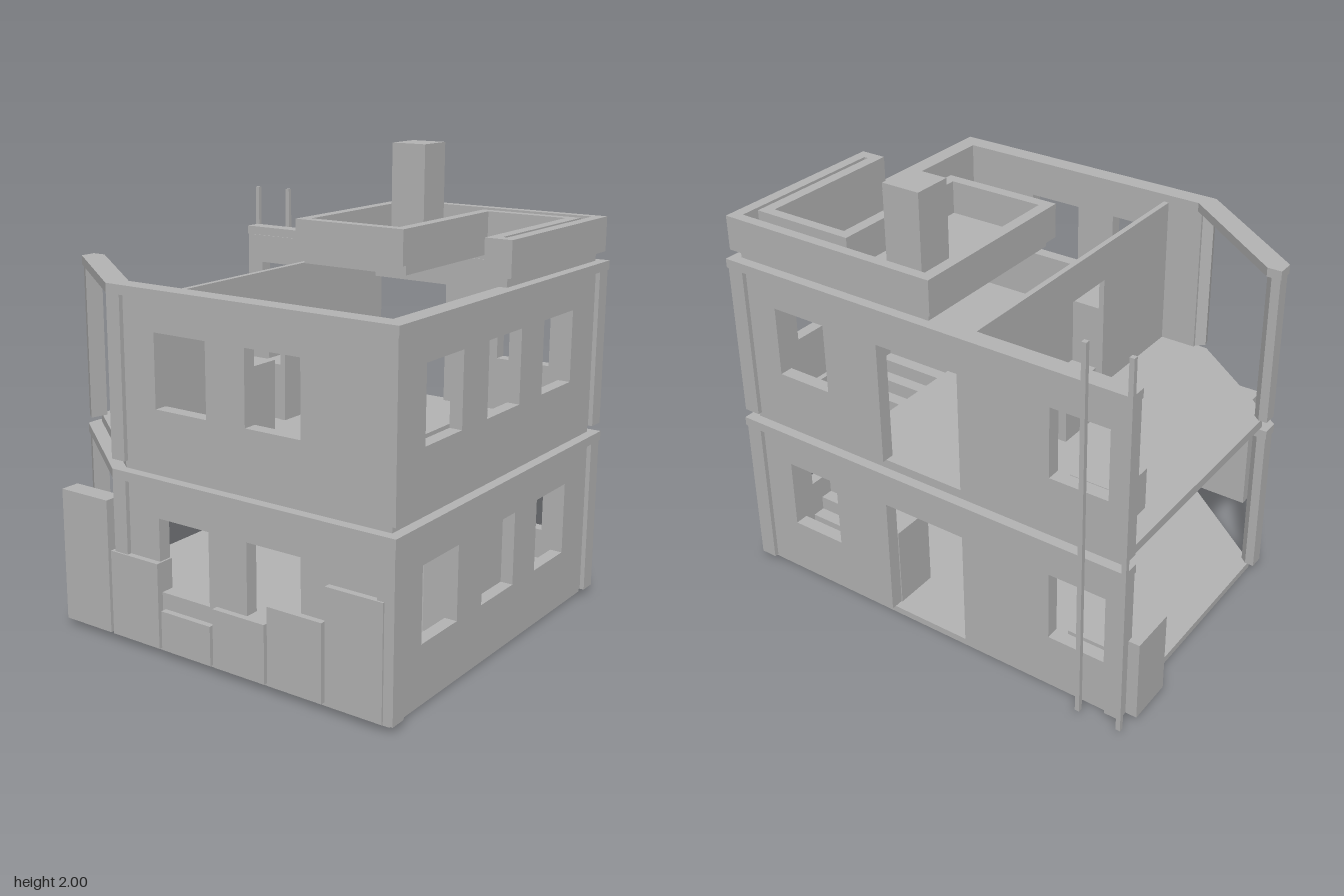
import * as THREE from 'three';

export function createModel() {
  const model = new THREE.Group();
  const plaster = new THREE.MeshStandardMaterial({ color: 0xb4b4b4 });
  plaster.name = 'grey plaster';

  const add = (name, geo, parent = model) => {
    const m = new THREE.Mesh(geo, plaster);
    m.name = name;
    parent.add(m);
    return m;
  };
  // Box from its limits
  const box = (name, x0, x1, y0, y1, z0, z1, parent = model) => {
    const m = add(name, new THREE.BoxGeometry(x1 - x0, y1 - y0, z1 - z0), parent);
    m.position.set((x0 + x1) / 2, (y0 + y1) / 2, (z0 + z1) / 2);
    return m;
  };
  const rectHole = ([a, b, c, d]) => new THREE.Path(
    [[a, c], [a, d], [b, d], [b, c]].map(p => new THREE.Vector2(...p)));
  const polygon = pts => new THREE.Shape(pts.map(p => new THREE.Vector2(...p)));
  // Upright wall with window holes and an optional doorway notch [u0, u1, top]
  const wall = (u0, u1, y0, y1, depth, windows, door) => {
    const pts = [[u0, y0]];
    if (door) pts.push([door[0], y0], [door[0], door[2]], [door[1], door[2]], [door[1], y0]);
    pts.push([u1, y0], [u1, y1], [u0, y1]);
    const s = polygon(pts);
    s.holes = windows.map(rectHole);
    return new THREE.ExtrudeGeometry(s, { depth, bevelEnabled: false });
  };
  // Floor plate from an x,z outline
  const slab = (name, pts, y0, y1, holes = []) => {
    const s = polygon(pts.map(([x, z]) => [x, -z]));
    s.holes = holes.map(([a, b, c, d]) => rectHole([a, b, -d, -c]));
    const g = new THREE.ExtrudeGeometry(s, { depth: y1 - y0, bevelEnabled: false });
    g.rotateX(-Math.PI / 2);
    add(name, g).position.y = y0;
  };

  // Floor plates with the cut corner
  const plan = [[-0.91, 0.38], [-0.35, 0.81], [0.94, 0.81], [0.94, -0.77], [-0.91, -0.77]];
  slab('groundSlab', plan, 0, 0.03);
  slab('upperSlab', plan, 0.76, 0.8, [[0.455, 0.88, -0.69, 0.1]]);

  // Two matching storeys: recessed walls, corner pillars and cornice
  const storey = (name, y0, top, w0, w1) => {
    const g = new THREE.Group();
    g.name = name;
    model.add(g);
    const c = top - 0.04;
    add('frontWall', wall(-0.36, 0.95, y0, c, 0.06,
      [[-0.16, 0.1, w0, w1], [0.29, 0.55, w0, w1]]), g).position.z = 0.77;
    add('backWall', wall(-0.91, 0.95, y0, c, 0.06,
      [[-0.85, -0.59, w0, w1], [0.5, 0.76, w0, w1]], [-0.17, 0.225, w1]), g).position.z = -0.79;
    const side = add('sideWall', wall(-0.82, 0.78, y0, c, 0.055,
      [[-0.63, -0.37, w0, w1], [-0.18, 0.08, w0, w1], [0.27, 0.53, w0, w1]]), g);
    side.rotation.y = Math.PI / 2;
    side.position.x = 0.905;

    box('cornerPillar', 0.905, 0.98, y0, c, 0.775, 0.85, g);
    box('cornerPillar', 0.905, 0.98, y0, c, -0.81, -0.735, g);
    box('backPillar', -0.94, -0.87, y0, c, -0.81, -0.735, g);
    box('frontCornice', -0.37, 0.985, c, top, 0.77, 0.855, g);
    box('backCornice', -0.945, 0.985, c, top, -0.815, -0.735, g);
    box('sideCornice', 0.905, 0.985, c, top, -0.735, 0.77, g);

    // Open frame across the cut corner
    const prism = (part, pts, a, b) => {
      const geo = new THREE.ExtrudeGeometry(polygon(pts.map(([x, z]) => [x, -z])),
        { depth: b - a, bevelEnabled: false });
      geo.rotateX(-Math.PI / 2);
      add(part, geo, g).position.y = a;
    };
    prism('diagonalPost', [[-0.94, 0.36], [-0.94, 0.425], [-0.89, 0.465], [-0.87, 0.385], [-0.9, 0.36]], y0, c);
    prism('frontPillar', [[-0.39, 0.85], [-0.32, 0.85], [-0.32, 0.775], [-0.35, 0.775], [-0.4, 0.815]], y0, c);
    prism('diagonalCornice', [[-0.945, 0.355], [-0.945, 0.43], [-0.385, 0.855],
      [-0.34, 0.855], [-0.34, 0.77], [-0.88, 0.355]], c, top);
  };
  storey('groundStorey', 0.03, 0.76, 0.27, 0.585);
  storey('upperStorey', 0.8, 1.525, 1.04, 1.35);

  // Partition with a doorway on the upper floor
  const partition = add('partition', wall(-0.77, 0.735, 0.8, 1.49, 0.025, [], [-0.23, 0.015, 1.325]));
  partition.rotation.y = Math.PI / 2;
  partition.position.x = -0.19;

  // Stairs rising to the upper floor
  for (let i = 0; i < 12; i++) {
    const z = -0.65 + i * 0.06, y = 0.09 + i * 0.0645;
    box('stairStep', 0.48, 0.85, 0.03, y, z, z + 0.06);
  }

  // Roof plate, open over the stairs
  slab('roofSlab', [[-0.03, 0.02], [0.48, 0.02], [0.48, -0.645], [0.85, -0.645], [0.85, 0.02],
    [0.94, 0.02], [0.94, -0.77], [-0.03, -0.77]], 1.525, 1.57);

  // Roof parapet with an inner wall round the stairwell
  const p0 = 1.565, p1 = 1.715;
  box('parapetLeft', 0.92, 0.97, p0, p1, -0.8, 0.045);
  box('parapetRight', -0.06, -0.01, p0, p1, -0.8, 0.045);
  box('parapetBack', -0.01, 0.92, p0, p1, -0.8, -0.755);
  box('parapetFront', -0.01, 0.48, p0, p1, -0.005, 0.045);
  box('parapetFrontEnd', 0.85, 0.92, p0, p1, -0.005, 0.045);
  box('stairwellWall', 0.43, 0.48, p0, p1, -0.69, -0.005);
  box('stairwellWall', 0.85, 0.9, p0, p1, -0.69, -0.005);
  box('stairwellBack', 0.48, 0.85, p0, p1, -0.69, -0.645);

  box('chimney', 0.05, 0.22, 1.56, 2, -0.7, -0.53);

  // Free-standing poles at the back corner
  for (const x of [-0.965, -0.775]) box('pole', x - 0.01, x + 0.01, 0.03, 1.71, -0.86, -0.84);

  // Row of boards along the front
  const heights = [0.615, 0.4, 0.2, 0.28, 0.36, 0.51];
  heights.forEach((h, i) => {
    const x = -0.68 + i * 0.272;
    box('frontBoard', x, x + 0.257, 0.03, h, 0.77, 0.858);
  });

  // Crates inside and outside
  box('crate', -0.82, -0.6, 0.03, 0.215, -0.66, -0.46);
  box('crate', -0.82, -0.6, 0.8, 0.985, -0.66, -0.46);
  box('crate', -0.16, 0, 0.8, 1.155, 0.27, 0.49);
  box('crate', -0.31, -0.19, 0.8, 1.05, -0.245, -0.02);
  box('crate', 0.22, 0.445, 0.03, 0.4, -0.73, -0.53);
  box('outsideCrate', -0.99, -0.915, 0.03, 0.4, -0.76, -0.55);
  box('turnedCrate', 0.48, 0.66, 0.03, 0.395, 0.1, 0.28).rotation.y = Math.PI / 4;

  return model;
}
